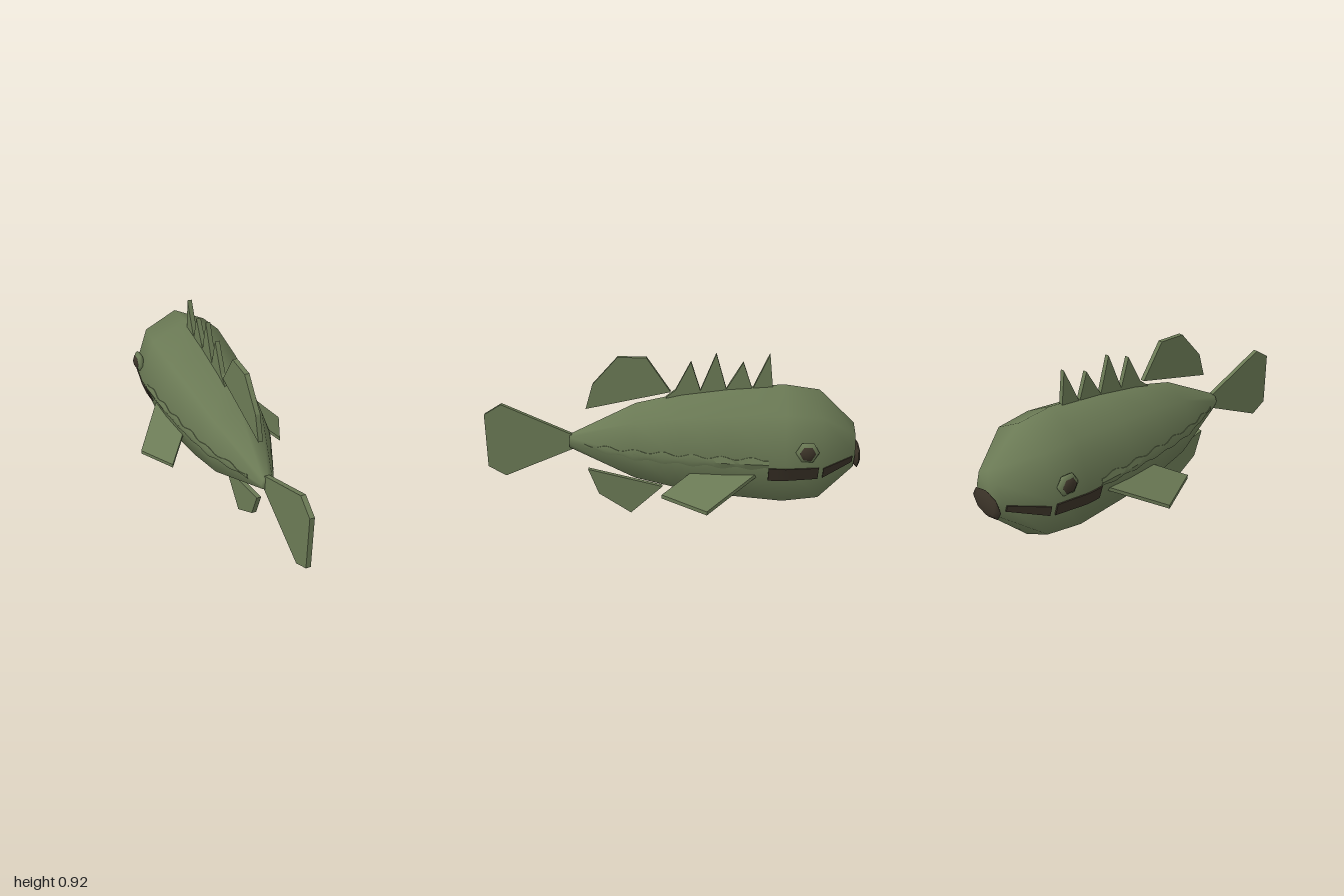
import * as THREE from 'three';
import { toCreasedNormals } from 'three/addons/utils/BufferGeometryUtils.js';

// Body stations: z, half width, top y, bottom y
const STATIONS = [
  [-0.96, 0.11, 0.553, 0.297],
  [-0.77, 0.255, 0.735, 0.11],
  [-0.584, 0.28, 0.761, 0.087],
  [-0.29, 0.262, 0.738, 0.115],
  [-0.05, 0.23, 0.705, 0.15],
  [0.19, 0.182, 0.648, 0.21],
  [0.547, 0.035, 0.466, 0.386],
];

// Half width of the octagonal body at a given z and height
function sideX(z, y) {
  let i = 0;
  while (i < STATIONS.length - 2 && z > STATIONS[i + 1][0]) i++;
  const a = STATIONS[i], b = STATIONS[i + 1];
  const k = (z - a[0]) / (b[0] - a[0]);
  const [, hw, top, bot] = a.map((v, n) => v + (b[n] - v) * k);
  const t = Math.abs(y - (top + bot) / 2) / ((top - bot) / 2);
  return t < 0.707 ? hw * (1 - 0.414 * t) : (hw * 0.707 * Math.max(0, 1 - t)) / 0.293;
}

// Surface from rows of points; wrap closes each row into a ring
function grid(rows, wrap = false, flip = false) {
  const n = rows[0].length, index = [];
  for (let i = 0; i < rows.length - 1; i++) {
    for (let j = 0; j < (wrap ? n : n - 1); j++) {
      const k = (j + 1) % n;
      const a = i * n + j, b = a + n, c = i * n + k, d = c + n;
      if (flip) index.push(a, c, b, c, d, b);
      else index.push(a, b, c, c, b, d);
    }
  }
  const g = new THREE.BufferGeometry();
  g.setAttribute('position', new THREE.Float32BufferAttribute(rows.flat(2), 3));
  g.setIndex(index);
  g.computeVertexNormals();
  return g;
}

// Raised plate that follows the flank between heights lo(z) and hi(z)
function flankPlate(side, z0, z1, lo, hi, steps, lift) {
  const rows = [];
  for (let i = -1; i <= steps + 1; i++) {
    const end = i < 0 || i > steps;
    const z = z0 + (z1 - z0) * THREE.MathUtils.clamp(i / steps, 0, 1);
    rows.push([0, 0, 0.5, 1, 1].map((v, j) => {
      const y = hi(z) + (lo(z) - hi(z)) * v;
      const off = end || j === 0 || j === 4 ? -0.01 : lift;
      return [side * (sideX(z, y) + off), y, z];
    }));
  }
  return toCreasedNormals(grid(rows, false, side < 0), 0.6);
}

// Flat upright fin on the centre line from [z, y] points
function uprightFin(points, thickness = 0.025) {
  const shape = new THREE.Shape(points.map(([z, y]) => new THREE.Vector2(-z, y)));
  const g = new THREE.ExtrudeGeometry(shape, { depth: thickness, bevelEnabled: false });
  g.translate(0, 0, -thickness / 2);
  g.rotateY(Math.PI / 2);
  return g;
}

// Slab on four corners
function slab(corners, side, thickness) {
  const ring = (dy) => corners.map(([x, y, z]) => [side * x, y + dy, z]);
  const mid = [0, 1, 2].map((n) => corners.reduce((s, c) => s + c[n], 0) / 4);
  const centre = (dy) => corners.map(() => [side * mid[0], mid[1] + dy, mid[2]]);
  const h = thickness / 2;
  return toCreasedNormals(grid([centre(-h), ring(-h), ring(h), centre(h)], true, side < 0), 0.6);
}

export function createModel() {
  const model = new THREE.Group();
  const skin = new THREE.MeshStandardMaterial({ color: 0x6b7a55 });
  skin.name = 'olive green';
  const dark = new THREE.MeshStandardMaterial({ color: 0x3b3328 });
  dark.name = 'dark brown';

  const add = (name, geometry, material) => {
    const mesh = new THREE.Mesh(geometry, material);
    mesh.name = name;
    model.add(mesh);
    return mesh;
  };

  // Body: smooth eight-sided loft closed at both ends
  const ring = ([z, w, top, bot], s = 1) => Array.from({ length: 8 }, (_, j) => {
    const a = (j * Math.PI) / 4;
    return [s * w * Math.sin(a), (top + bot) / 2 + ((s * (top - bot)) / 2) * Math.cos(a), z];
  });
  const last = STATIONS[STATIONS.length - 1];
  add('body', grid([ring(STATIONS[0], 0), ...STATIONS.map((s) => ring(s)), ring(last, 0)], true), skin);

  // Lips
  const lips = add('lips', new THREE.SphereGeometry(1, 8, 4), dark);
  lips.geometry.rotateX(Math.PI / 2);
  lips.scale.set(0.12, 0.073, 0.021);
  lips.position.set(0, 0.383, -0.979);

  // Centre-line fins
  add('tailFin', uprightFin([
    [0.53, 0.465], [0.906, 0.633], [1, 0.574], [1, 0.274], [0.906, 0.22], [0.53, 0.385],
  ]), skin);
  add('rearDorsalFin', uprightFin([
    [0.455, 0.615], [0.415, 0.75], [0.28, 0.9], [0.13, 0.9], [0.005, 0.715],
  ]), skin);
  add('spinyDorsalFin', uprightFin([
    [0.03, 0.66], [0.03, 0.685], [-0.02, 0.725], [-0.1, 0.88], [-0.15, 0.725], [-0.23, 0.925],
    [-0.285, 0.735], [-0.37, 0.88], [-0.42, 0.735], [-0.505, 0.925], [-0.525, 0.75], [-0.525, 0.7],
  ]), skin);
  add('analFin', uprightFin([
    [0.455, 0.263], [0.4, 0.118], [0.225, 0.003], [0.05, 0.166],
  ]), skin);

  for (const side of [1, -1]) {
    const label = side > 0 ? 'left' : 'right';

    // Pectoral fin
    add(label + 'PectoralFin', slab([
      [0.235, 0.355, -0.45], [0.42, 0.22, -0.19], [0.316, 0.258, 0.04], [0.2, 0.335, -0.11],
    ], side, 0.02), skin);

    // Wavy lateral line
    const half = (z) => 0.026 + 0.008 * Math.sin(z * 42) - (z > 0.13 ? (z - 0.13) * 0.05 : 0);
    add(label + 'LateralLine', flankPlate(side, -0.5, 0.46,
      (z) => 0.424 - half(z), (z) => 0.424 + half(z), 40, 0.003), skin);

    // Dark cheek bars
    add(label + 'RearCheekBar', flankPlate(side, -0.755, -0.5,
      (z) => 0.325 - (z + 0.5) * 0.03, () => 0.403, 6, 0.008), dark);
    add(label + 'FrontCheekBar', flankPlate(side, -0.945, -0.78,
      (z) => 0.335 - (z + 0.78) * 0.25, (z) => 0.395 - (z + 0.78) * 0.11, 4, 0.008), dark);

    // Eye and pupil
    const orb = (name, x, flat, r, material) => {
      const mesh = add(name, new THREE.SphereGeometry(1, 6, 6), material);
      mesh.geometry.rotateZ(-Math.PI / 2);
      mesh.scale.set(flat, r, r);
      mesh.rotation.x = Math.PI / 2;
      mesh.position.set(side * x, 0.487, -0.693);
    };
    orb(label + 'Eye', 0.256, 0.026, 0.06, skin);
    orb(label + 'Pupil', 0.268, 0.022, 0.044, dark);
  }
  return model;
}
